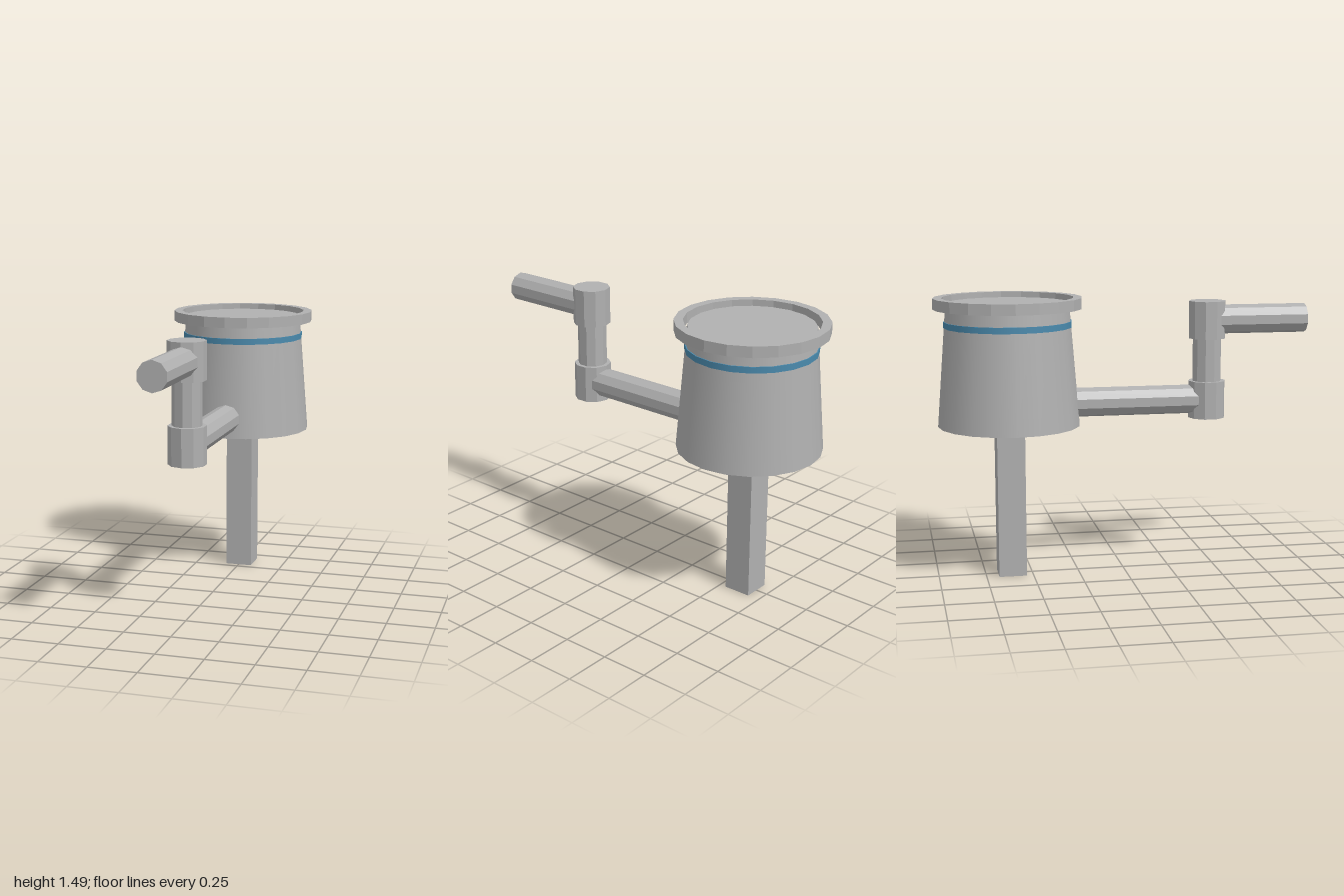
import * as THREE from 'three';

export function createModel() {
  const model = new THREE.Group();
  const grey = new THREE.MeshStandardMaterial({ color: 0xb0b0b0 });
  grey.name = 'metal grey';
  const blue = new THREE.MeshStandardMaterial({ color: 0x4a8aad });
  blue.name = 'band blue';

  const drumZ = -0.61, elbowZ = 0.46, armRadius = 0.078, jointRadius = 0.1;

  function add(name, geometry, material, y, z) {
    const mesh = new THREE.Mesh(geometry, material);
    mesh.name = name;
    mesh.position.set(0, y, z);
    model.add(mesh);
  }

  // Ten-sided faceted rod standing between two heights
  function upright(name, radius, y0, y1) {
    const g = new THREE.CylinderGeometry(radius, radius, y1 - y0, 10).toNonIndexed();
    g.computeVertexNormals();
    add(name, g, grey, (y0 + y1) / 2, elbowZ);
  }

  // Ten-sided faceted rod lying along z
  function arm(name, y, z0, z1) {
    const g = new THREE.CylinderGeometry(armRadius, armRadius, z1 - z0, 10).toNonIndexed();
    g.computeVertexNormals();
    g.rotateX(Math.PI / 2);
    add(name, g, grey, y, (z0 + z1) / 2);
  }

  // Square stake and tapered drum
  add('post', new THREE.BoxGeometry(0.148, 0.82, 0.148), grey, 0.41, drumZ);
  add('drum', new THREE.CylinderGeometry(0.323, 0.375, 0.645, 20), grey, 0.8125 + 0.3225, drumZ);
  add('band', new THREE.CylinderGeometry(0.336, 0.336, 0.032, 20), blue, 1.347, drumZ);

  // Loose square-edged rim around the drum top
  const profile = [[0.344, 0], [0.39, 0], [0.39, 0.057], [0.344, 0.057], [0.344, 0]]
    .map(([r, y]) => new THREE.Vector2(r, y));
  const rim = new THREE.LatheGeometry(profile, 20).toNonIndexed();
  rim.computeVertexNormals();
  add('rim', rim, grey, 1.428, drumZ);

  // Crank: lower arm, two joints with a link between, and the handle
  arm('lowerArm', 0.921, -0.35, elbowZ);
  upright('lowerJoint', jointRadius, 0.82, 1.02);
  upright('link', armRadius, 1.0, 1.27);
  upright('upperJoint', jointRadius, 1.25, 1.45);
  arm('handle', 1.35, elbowZ, 1.0);

  return model;
}
